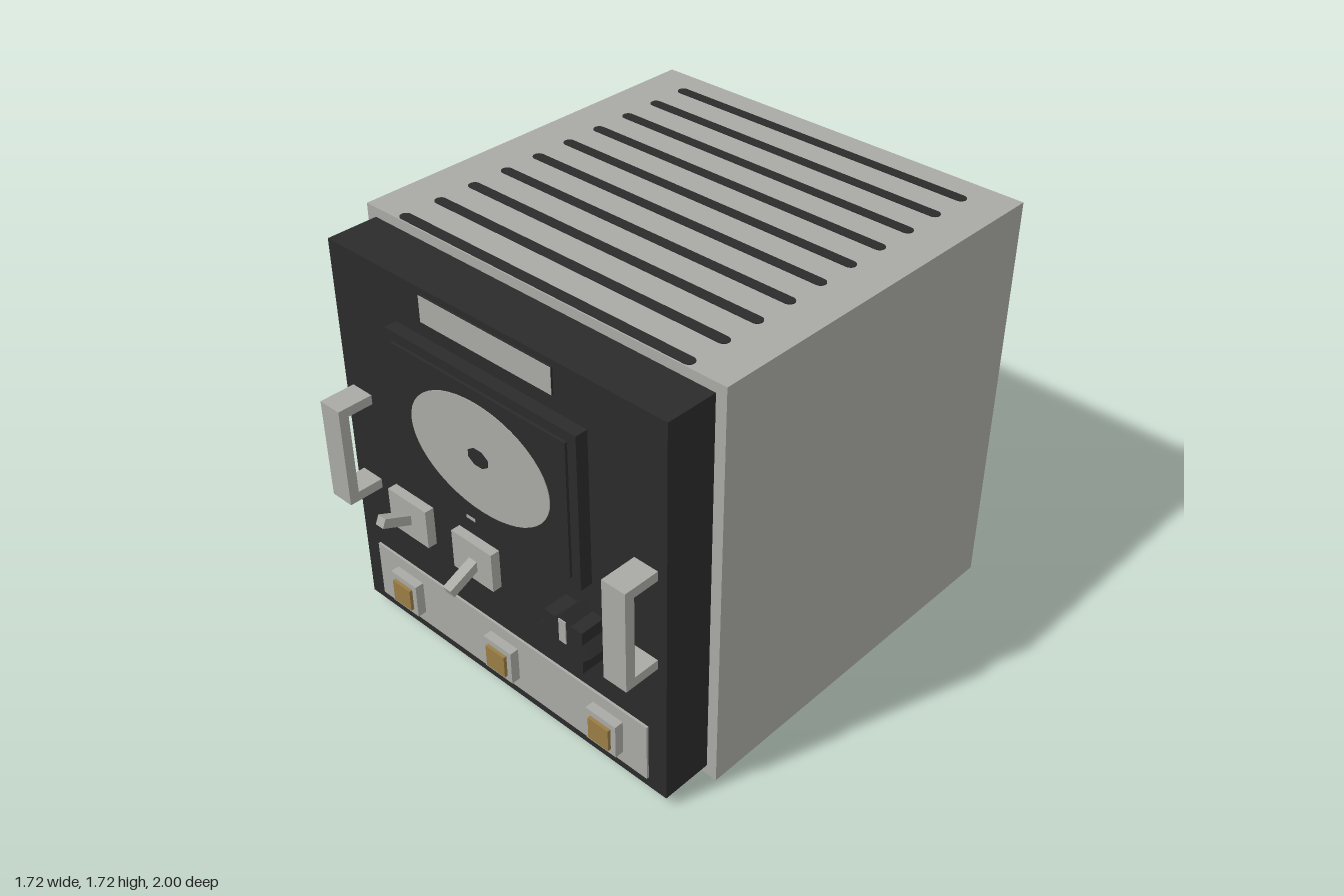
import * as THREE from 'three';

export function createModel() {
  const model = new THREE.Group();
  const mat = (name, color) => {
    const m = new THREE.MeshStandardMaterial({ color });
    m.name = name;
    return m;
  };
  const grey = mat('warm grey', 0xa9aaa4);
  const dark = mat('charcoal', 0x2b2b2b);
  const amber = mat('amber', 0x9a7d45);

  const add = (parent, name, geometry, material) => {
    const mesh = new THREE.Mesh(geometry, material);
    mesh.name = name;
    parent.add(mesh);
    return mesh;
  };
  // Box given by its limits on each axis
  const box = (parent, name, material, x0, x1, y0, y1, z0, z1) => {
    const mesh = add(parent, name, new THREE.BoxGeometry(x1 - x0, y1 - y0, z1 - z0), material);
    mesh.position.set((x0 + x1) / 2, (y0 + y1) / 2, (z0 + z1) / 2);
    return mesh;
  };
  const group = (name) => {
    const g = new THREE.Group();
    g.name = name;
    model.add(g);
    return g;
  };

  // Cabinet and front panel
  box(model, 'cabinet', grey, -0.86, 0.86, 0, 1.72, -1, 0.615);
  box(model, 'frontPanel', dark, -0.815, 0.815, 0.045, 1.68, 0.61, 0.83);

  // Ventilation slots: painted strips with rounded ends
  const vents = group('vents');
  const r = 0.023, half = 0.7 - r;
  const slot = new THREE.Shape();
  slot.absarc(half, 0, r, -Math.PI / 2, Math.PI / 2);
  slot.absarc(-half, 0, r, Math.PI / 2, Math.PI * 1.5);
  const slotGeometry = new THREE.ExtrudeGeometry(slot, { depth: 0.003, bevelEnabled: false, curveSegments: 6 });
  slotGeometry.rotateX(-Math.PI / 2);
  for (let i = 0; i < 10; i++) {
    add(vents, 'ventSlot', slotGeometry, dark).position.set(0, 1.72, -0.87 + i * 0.1618);
  }

  // Name plate with a light face
  box(model, 'namePlate', dark, -0.32, 0.32, 1.55, 1.655, 0.83, 0.838);
  box(model, 'namePlateFace', grey, -0.32, 0.32, 1.55, 1.655, 0.838, 0.84);

  // Speaker: stepped frame, oval grille and centre cap
  const speaker = group('speaker');
  box(speaker, 'speakerFrame', dark, -0.47, 0.47, 0.845, 1.485, 0.83, 0.882);
  box(speaker, 'speakerBoard', dark, -0.43, 0.43, 0.885, 1.445, 0.882, 0.893);
  box(speaker, 'frameMark', grey, -0.105, -0.06, 0.847, 0.86, 0.882, 0.884);
  const oval = new THREE.CylinderGeometry(1, 1, 0.003, 48).rotateX(Math.PI / 2).scale(0.35, 0.23, 1);
  add(speaker, 'speakerOval', oval, grey).position.set(0, 1.165, 0.8945);
  const cap = new THREE.CylinderGeometry(1, 1, 0.002, 8, 1, false, Math.PI / 8)
    .rotateX(Math.PI / 2).scale(0.054, 0.037, 1);
  add(speaker, 'speakerCentre', cap, dark).position.set(0, 1.167, 0.897);

  // Handles on both sides
  for (const side of [-1, 1]) {
    const handle = group(side > 0 ? 'leftHandle' : 'rightHandle');
    const x0 = side * 0.7225 - 0.0525, x1 = x0 + 0.105;
    box(handle, 'handleGrip', grey, x0, x1, 0.65, 1.078, 0.94, 0.982);
    box(handle, 'handleTopLeg', grey, x0, x1, 1.038, 1.078, 0.83, 0.94);
    box(handle, 'handleBottomLeg', grey, x0, x1, 0.65, 0.69, 0.83, 0.94);
  }

  // Toggle switches, one up and one down
  for (const [x, leverX, tilt] of [[-0.4725, -0.476, -1], [-0.1125, -0.108, 1]]) {
    const toggle = group('toggleSwitch');
    box(toggle, 'switchPlate', grey, x - 0.107, x + 0.107, 0.545, 0.715, 0.83, 0.87);
    const lever = add(toggle, 'switchLever', new THREE.BoxGeometry(0.042, 0.04, 0.15).translate(0, 0, 0.075), grey);
    lever.position.set(leverX, 0.623, 0.856);
    lever.rotation.x = tilt * 0.42;
  }

  // Eight-pointed knob from two crossed squares, with a pointer
  const knob = group('knob');
  for (const turn of [0, Math.PI / 4]) {
    const body = box(knob, 'knobBody', dark, 0.338, 0.522, 0.534, 0.718, 0.83, turn ? 0.936 : 0.935);
    body.rotation.z = turn;
  }
  box(knob, 'knobPointer', grey, 0.413, 0.447, 0.625, 0.725, 0.935, 0.94);

  // Indicator strip with three lamps
  box(model, 'lampStrip', grey, -0.73, 0.73, 0.09, 0.345, 0.83, 0.84);
  for (const x of [-0.54, 0, 0.54]) {
    const lamp = group('indicatorLamp');
    box(lamp, 'lampBezel', grey, x - 0.074, x + 0.074, 0.144, 0.292, 0.84, 0.878);
    box(lamp, 'lampLens', amber, x - 0.05, x + 0.05, 0.169, 0.267, 0.878, 0.892);
  }

  return model;
}
